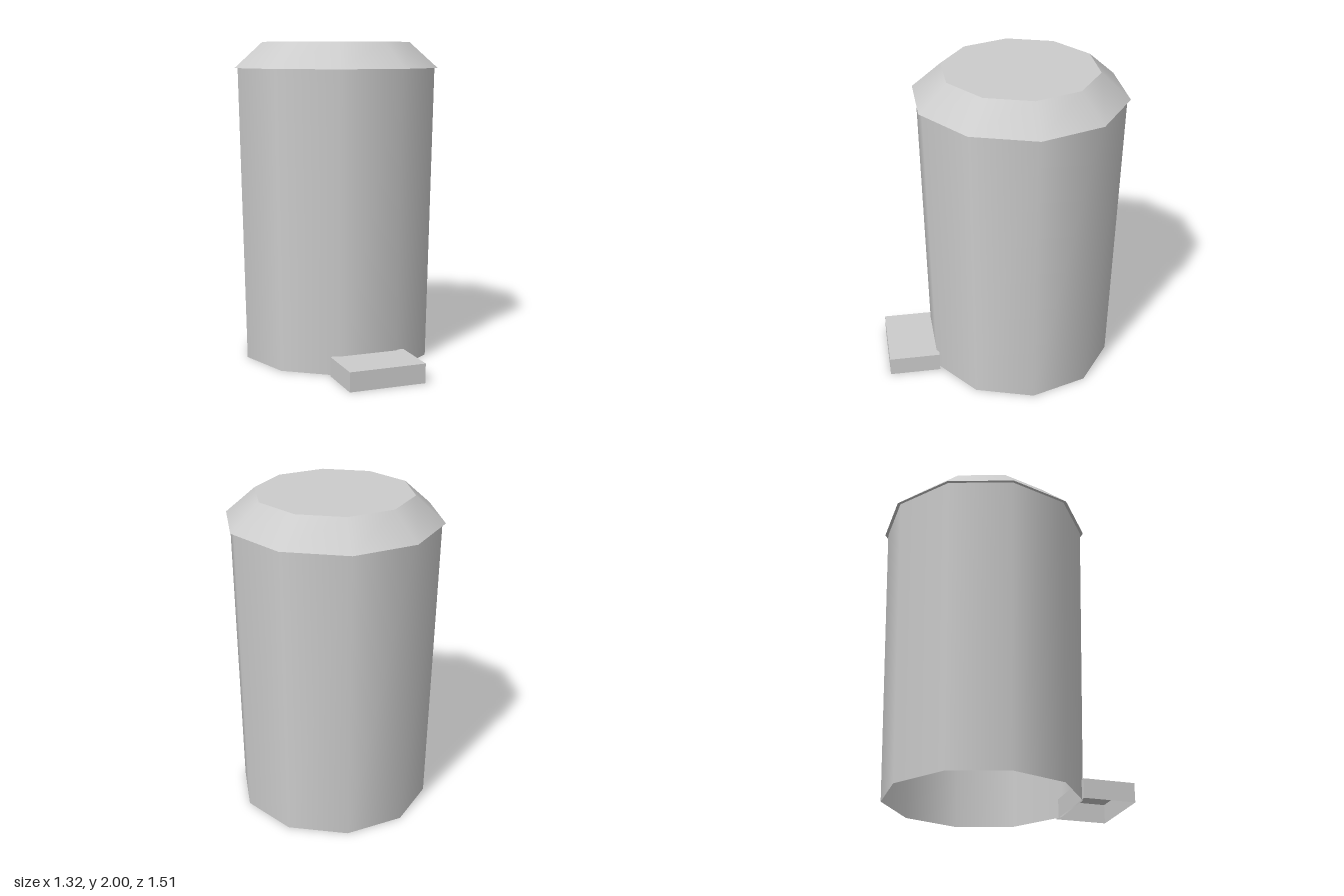
import * as THREE from 'three';

const SIDES = 10;
const CENTRE_Z = -0.128;
const RIM_Y = 1.84;

export function createModel() {
  const model = new THREE.Group();
  model.name = 'pedalBin';
  const metal = new THREE.MeshStandardMaterial({ color: 0xcccccc, side: THREE.DoubleSide });
  metal.name = 'greyMetal';

  function add(name, geometry, y, z = CENTRE_Z) {
    const mesh = new THREE.Mesh(geometry, metal);
    mesh.name = name;
    mesh.position.set(0, y, z);
    model.add(mesh);
  }

  // open-ended, smooth-shaded tapered wall with corners on the x axis
  const wall = (top, bottom, height) =>
    new THREE.CylinderGeometry(top, bottom, height, SIDES, 1, true, Math.PI / 2);

  // tapered body, open underneath
  add('body', wall(0.64, 0.6, RIM_Y), RIM_Y / 2);

  // lid: sloping skirt, flat top and narrow overhanging underside
  add('lidSkirt', wall(0.48, 0.66, 2 - RIM_Y), (2 + RIM_Y) / 2);
  add('lidTop', new THREE.CircleGeometry(0.48, SIDES).rotateX(-Math.PI / 2), 2);
  add('lidUnderside', new THREE.RingGeometry(0.64, 0.66, SIDES, 1).rotateX(Math.PI / 2), RIM_Y);

  // foot pedal: a box with its bottom face left out
  const pedal = new THREE.BoxGeometry(0.48, 0.12, 0.325);
  const index = Array.from(pedal.index.array);
  index.splice(18, 6);
  pedal.setIndex(index);
  pedal.clearGroups();
  add('pedal', pedal, 0.06, 0.5925);

  return model;
}
